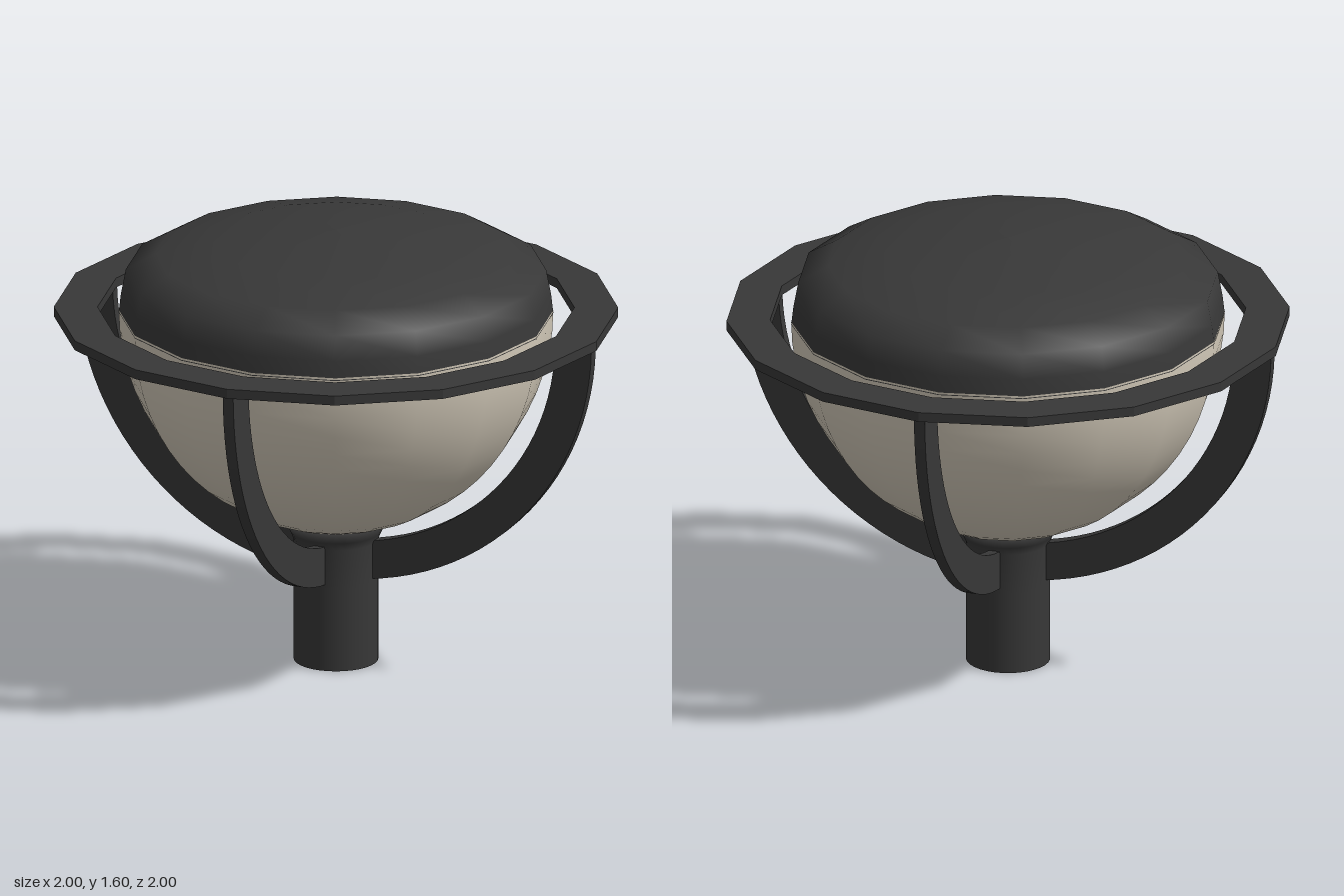
import * as THREE from 'three';

const SIDES = 16;
const RIM_Y = 1.3;

export function createModel() {
  const lamp = new THREE.Group();
  lamp.name = 'postLamp';

  const metal = new THREE.MeshStandardMaterial({ color: 0x383838 });
  metal.name = 'darkMetal';
  const glass = new THREE.MeshStandardMaterial({ color: 0xd6cdbc });
  glass.name = 'creamGlass';

  const add = (name, geometry, material) => {
    const mesh = new THREE.Mesh(geometry, material);
    mesh.name = name;
    lamp.add(mesh);
    return mesh;
  };
  const lathe = (profile, sides) =>
    new THREE.LatheGeometry(profile.map(([r, y]) => new THREE.Vector2(r, y)), sides);
  const polygon = (radius) => Array.from({ length: SIDES }, (_, i) => {
    const a = (i / SIDES) * Math.PI * 2;
    return new THREE.Vector2(radius * Math.cos(a), radius * Math.sin(a));
  });

  // Post and flared collar
  const post = new THREE.CylinderGeometry(0.15, 0.15, 0.3, 32);
  post.translate(0, 0.15, 0);
  add('post', post, metal);
  add('collar', lathe([[0.15, 0.3], [0.15, 0.45], [0.163, 0.48], [0.185, 0.525], [0, 0.525]], 32), metal);

  // Half-ellipsoid glass bowl
  const bowl = [];
  for (let i = 0; i <= 16; i++) {
    const a = (i / 16) * Math.PI / 2;
    bowl.push([0.77 * Math.sin(a), RIM_Y - 0.8 * Math.cos(a)]);
  }
  add('bowl', lathe(bowl, SIDES), glass);

  // Shallow domed cap with a closed underside
  add('cap', lathe([[0.77, 1.29], [0.762, 1.36], [0.745, 1.45], [0.64, 1.51],
    [0.44, 1.557], [0.2, 1.59], [0, 1.6]], SIDES), metal);
  const underside = new THREE.CircleGeometry(0.77, SIDES);
  underside.rotateX(Math.PI / 2);
  underside.translate(0, 1.29, 0);
  add('capUnderside', underside, metal);

  // Flat faceted ring around the rim
  const ringShape = new THREE.Shape(polygon(1));
  ringShape.holes.push(new THREE.Path(polygon(0.845)));
  const ring = new THREE.ExtrudeGeometry(ringShape, { depth: 0.035, bevelEnabled: false });
  ring.rotateX(-Math.PI / 2);
  ring.translate(0, 1.275, 0);
  add('rimRing', ring, metal);

  // Four curved arms from the collar to the ring
  const start = -Math.PI / 2 + 0.13;
  const end = -0.02;
  const armShape = new THREE.Shape();
  armShape.absarc(0, RIM_Y, 0.99, start, end, false);
  armShape.absarc(0, RIM_Y, 0.85, end, start, true);
  const arm = new THREE.ExtrudeGeometry(armShape, { depth: 0.04, bevelEnabled: false, curveSegments: 12 });
  arm.translate(0, 0, -0.02);
  for (let i = 0; i < 4; i++) {
    add('arm' + (i + 1), arm, metal).rotation.y = i * Math.PI / 2;
  }

  return lamp;
}
